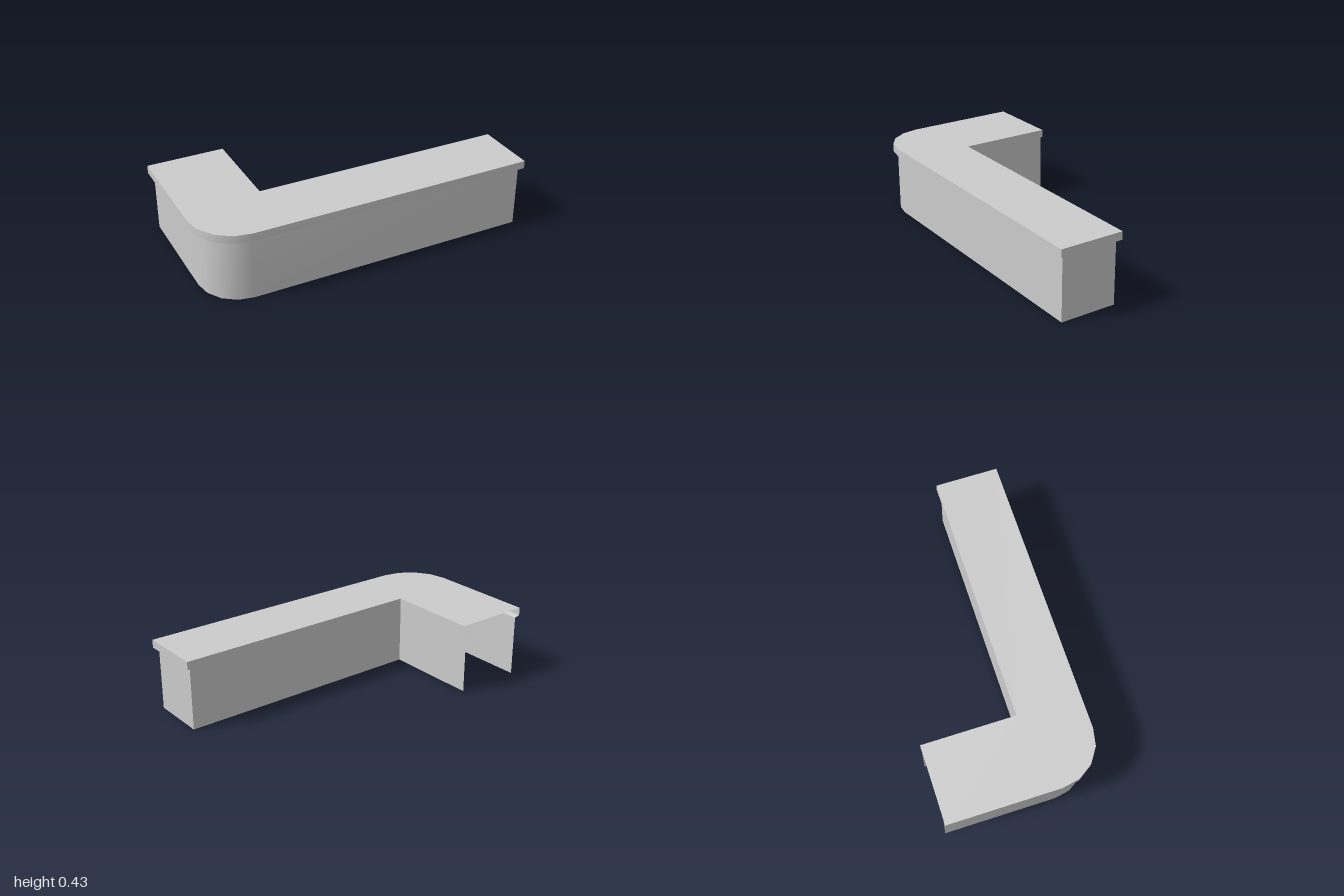
import * as THREE from 'three';
import { toCreasedNormals } from 'three/addons/utils/BufferGeometryUtils.js';

const BACK = -0.475; // open end of the short arm

// L-shaped outline as [x, z], from the outer to the inner side of the open end
function outline(left, right, front, inner, rear) {
  const cx = -0.73, cz = 0.2, pts = [[left, BACK]];
  for (let i = 0; i <= 4; i++) { // rounded corner
    const a = (i / 4) * Math.PI / 2;
    pts.push([cx - (cx - left) * Math.cos(a), cz + (front - cz) * Math.sin(a)]);
  }
  pts.push([right, front], [right, rear], [inner, rear], [inner, BACK]);
  return pts;
}

// Open band of faces between a lower and an upper outline
function band(lower, y0, upper, y1) {
  const pos = [];
  for (let i = 0; i < lower.length - 1; i++) {
    const a = [lower[i][0], y0, lower[i][1]];
    const b = [lower[i + 1][0], y0, lower[i + 1][1]];
    const c = [upper[i + 1][0], y1, upper[i + 1][1]];
    const d = [upper[i][0], y1, upper[i][1]];
    pos.push(...a, ...b, ...c, ...a, ...c, ...d);
  }
  const geo = new THREE.BufferGeometry();
  geo.setAttribute('position', new THREE.Float32BufferAttribute(pos, 3));
  return toCreasedNormals(geo, 0.6);
}

export function createModel() {
  const group = new THREE.Group();
  group.name = 'cornerCounter';
  const material = new THREE.MeshStandardMaterial({ color: 0xcccccc, side: THREE.DoubleSide });
  const add = (name, geo) => {
    const mesh = new THREE.Mesh(geo, material);
    mesh.name = name;
    group.add(mesh);
  };

  const wall = outline(-0.965, 0.975, 0.45, -0.55, 0.11);
  const rim = outline(-1, 1, 0.475, -0.53, 0.09);

  // Thin walls, sloping ledge and upright rim, all open at the end and below
  add('walls', band(wall, 0, wall, 0.373));
  add('ledge', band(wall, 0.373, rim, 0.382));
  add('rim', band(rim, 0.382, rim, 0.43));

  // Flat counter top
  const shape = new THREE.Shape(rim.map(([x, z]) => new THREE.Vector2(x, -z)));
  add('counterTop', new THREE.ShapeGeometry(shape).rotateX(-Math.PI / 2).translate(0, 0.43, 0));

  return group;
}
